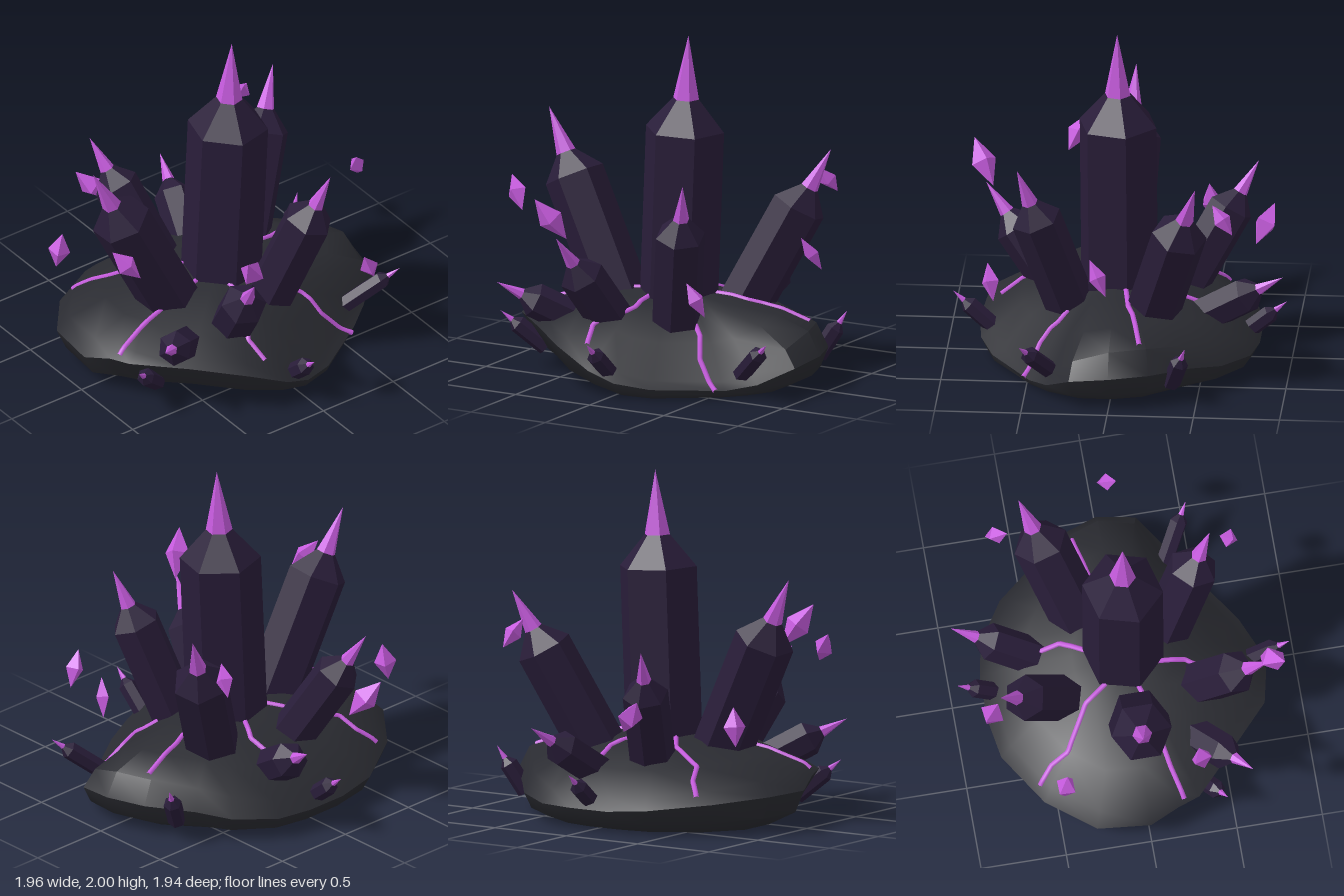
import * as THREE from 'three';
import { mergeGeometries, toCreasedNormals } from 'three/addons/utils/BufferGeometryUtils.js';

const V = (a) => new THREE.Vector3(...a);
const UP = new THREE.Vector3(0, 1, 0);

// Rock outline, clockwise from above: x, z, shoulder height, rim height, foot scale
const OUTLINE = [
  [-0.98, 0, 0.32, 0.22, 0.75], [-0.95, -0.31, 0.3, 0.22, 0.77], [-0.73, -0.58, 0.26, 0.19, 0.79],
  [-0.4, -0.78, 0.22, 0.15, 0.79], [-0.15, -0.82, 0.2, 0.13, 0.79], [0.11, -0.82, 0.2, 0.13, 0.79],
  [0.32, -0.78, 0.21, 0.13, 0.79], [0.55, -0.63, 0.26, 0.15, 0.79], [0.68, -0.46, 0.3, 0.18, 0.79],
  [0.87, -0.23, 0.34, 0.2, 0.79], [0.95, 0, 0.34, 0.2, 0.78], [0.92, 0.23, 0.27, 0.17, 0.8],
  [0.75, 0.37, 0.14, 0.08, 0.88], [0.6, 0.48, 0.09, 0.05, 0.93], [0.24, 0.72, 0.1, 0.06, 0.94],
  [0.04, 0.8, 0.14, 0.09, 0.87], [-0.12, 0.82, 0.21, 0.15, 0.72], [-0.36, 0.77, 0.3, 0.26, 0.58],
  [-0.62, 0.54, 0.32, 0.29, 0.49], [-0.88, 0.3, 0.34, 0.3, 0.5], [-0.92, 0.17, 0.345, 0.28, 0.61],
];

// Rock: rings scaled from the outline, from top centre to underside centre
function rockGeometry() {
  const top = 0.49;
  const ring = (x, z, s, r, f) => [
    [0, top],
    [0.36, top + (s - top) * 0.13],
    [0.7, top + (s - top) * 0.52],
    [0.92, s],
    [1, r],
    [1 - (1 - f) * 0.25, r * 0.4],
    [f, 0],
    [0, 0],
  ].map(([k, y]) => [x * k, y, z * k]);
  const columns = OUTLINE.map((p) => ring(...p));
  const n = columns.length, rows = columns[0].length, idx = [];
  for (let i = 0; i < n; i++) {
    for (let j = 0; j < rows - 1; j++) {
      const a = i * rows + j, b = ((i + 1) % n) * rows + j;
      if (j > 0) idx.push(a, b, a + 1);
      if (j < rows - 2) idx.push(b, b + 1, a + 1);
    }
  }
  const g = new THREE.BufferGeometry();
  g.setAttribute('position', new THREE.Float32BufferAttribute(columns.flat(2), 3));
  g.setIndex(idx);
  return toCreasedNormals(g, 0.75);
}

function flat(g) {
  const f = g.index ? g.toNonIndexed() : g;
  f.computeVertexNormals();
  return f;
}

export function createModel() {
  const model = new THREE.Group();
  model.name = 'crystalCluster';
  const rockMat = new THREE.MeshStandardMaterial({ color: 0x2a2b31 });
  rockMat.name = 'charcoal rock';
  const darkMat = new THREE.MeshStandardMaterial({ color: 0x291d39 });
  darkMat.name = 'dark violet crystal';
  const glowMat = new THREE.MeshStandardMaterial({ color: 0xc85ce0 });
  glowMat.name = 'bright purple crystal';

  const add = (parent, name, geo, mat) => {
    const m = new THREE.Mesh(geo, mat);
    m.name = name;
    parent.add(m);
    return m;
  };

  const rock = add(model, 'rockBase', rockGeometry(), rockMat);

  // Six-sided crystal from base to tip: shaft, bevelled shoulder, bright point
  function crystal(name, base, tip, r, roll = 0) {
    const dir = V(tip).sub(V(base)), len = dir.length();
    const point = Math.min(1.6 * r, len * 0.35), bevel = 0.78 * r, neck = 0.33 * r, sink = 0.6 * r;
    const shaft = len - point - bevel;
    const body = mergeGeometries([
      new THREE.CylinderGeometry(r, r, shaft + sink, 6).translate(0, (shaft - sink) / 2, 0),
      new THREE.CylinderGeometry(neck, r, bevel, 6, 1, true).translate(0, shaft + bevel / 2, 0),
    ]);
    const cone = new THREE.ConeGeometry(neck, point, 6).translate(0, len - point / 2, 0);
    const g = new THREE.Group();
    g.name = name;
    add(g, 'crystalShaft', flat(body.rotateY(roll)), darkMat);
    add(g, 'crystalTip', flat(cone.rotateY(roll)), glowMat);
    g.position.copy(V(base));
    g.quaternion.setFromUnitVectors(UP, dir.normalize());
    model.add(g);
  }

  crystal('centralCrystal', [0, 0.42, 0], [0.07, 2.0, 0.01], 0.235, Math.PI / 4);
  crystal('rightTallCrystal', [-0.39, 0.41, 0.025], [-0.894, 1.45, -0.03], 0.176);
  crystal('leftTallCrystal', [0.32, 0.4, -0.22], [0.732, 1.305, -0.49], 0.163, 0.2);
  crystal('frontLeftCrystal', [0.175, 0.465, 0.31], [0.367, 1.255, 0.57], 0.147, 0.3);
  crystal('frontRightCrystal', [-0.225, 0.4, 0.43], [-0.348, 0.905, 0.8], 0.133, 0.1);
  crystal('backRightCrystal', [-0.185, 0.4, -0.39], [-0.37, 1.075, -0.78], 0.134, 0.25);
  crystal('backLeftCrystal', [0.13, 0.3, -0.5], [0.27, 0.6, -0.965], 0.11);
  crystal('sideRightCrystal', [-0.53, 0.33, 0.36], [-0.855, 0.545, 0.62], 0.103, 0.2);

  // Small sprouts around the rim
  [
    [[-0.03, 0.15, 0.75], [-0.04, 0.345, 0.97]],
    [[0.65, 0.14, 0.36], [0.9, 0.365, 0.52]],
    [[-0.72, 0.14, 0.34], [-0.925, 0.335, 0.46]],
    [[0, 0.17, -0.75], [0.005, 0.35, -0.97]],
    [[0.74, 0.13, -0.36], [0.87, 0.37, -0.44]],
  ].forEach(([b, t]) => crystal('rimSprout', b, t, 0.053));

  // Floating shards: centre, half axis, half width
  [
    [[-0.905, 1.01, 0.31], [-0.065, 0.09, -0.05], 0.062],
    [[-0.375, 1.02, 0.815], [-0.072, 0.122, 0.06], 0.075],
    [[-0.815, 0.64, -0.47], [0.015, 0.115, 0.01], 0.065],
    [[0.54, 0.63, 0.71], [-0.05, 0.1, 0.02], 0.055],
    [[0.93, 0.82, 0.06], [-0.04, 0.1, 0.05], 0.05],
    [[0.62, 1.08, -0.64], [-0.03, 0.08, 0.06], 0.053],
    [[-0.325, 0.7, -0.82], [-0.08, 0.1, -0.05], 0.075],
  ].forEach(([c, axis, w], i) => {
    const a = V(axis);
    const geo = new THREE.OctahedronGeometry(1).rotateY(i * 0.4).scale(w, a.length(), w);
    const m = add(model, 'floatingShard', flat(geo), glowMat);
    m.position.copy(V(c));
    m.quaternion.setFromUnitVectors(UP, a.normalize());
  });

  // Glowing cracks laid over the rock surface: x, z waypoints
  const ray = new THREE.Raycaster();
  const onRock = (x, z) => {
    ray.set(new THREE.Vector3(x, 3, z), new THREE.Vector3(0, -1, 0));
    const hit = ray.intersectObject(rock)[0];
    return new THREE.Vector3(x, hit ? hit.point.y : 0.05, z);
  };
  [
    [[-0.63, -0.59], [-0.55, -0.51], [-0.51, -0.41], [-0.26, -0.26], [-0.17, -0.13]],
    [[0.12, -0.5], [0.135, -0.35], [0.05, -0.2]],
    [[0.2, -0.05], [0.28, -0.06], [0.42, -0.08], [0.5, -0.11], [0.78, -0.17]],
    [[0.28, 0.28], [0.34, 0.33], [0.4, 0.43], [0.56, 0.52]],
    [[-0.08, 0.18], [-0.085, 0.35], [-0.12, 0.41], [-0.23, 0.58], [-0.2, 0.7]],
    [[-0.2, 0.05], [-0.29, 0.08], [-0.5, 0.12], [-0.7, 0.16], [-0.88, 0.21]],
  ].forEach((way) => {
    const pts = [onRock(...way[0])];
    way.slice(1).forEach(([x, z], i) => {
      const [px, pz] = way[i];
      for (let k = 1; k <= 5; k++) pts.push(onRock(px + (x - px) * k / 5, pz + (z - pz) * k / 5));
    });
    const curve = new THREE.CatmullRomCurve3(pts);
    add(model, 'glowingCrack', new THREE.TubeGeometry(curve, pts.length * 2, 0.016, 6), glowMat);
  });

  return model;
}
